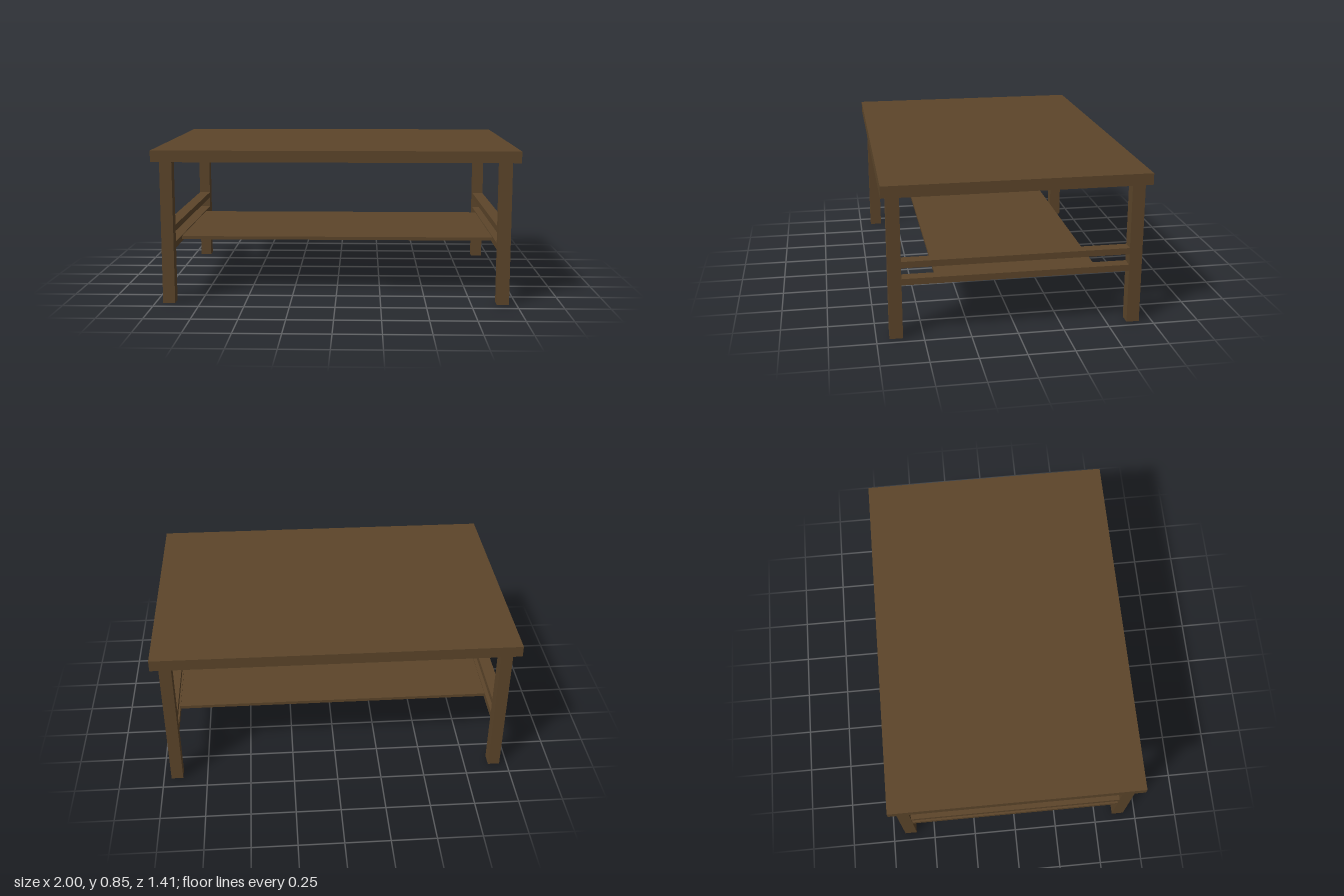
import * as THREE from 'three';

export function createModel() {
  const group = new THREE.Group();
  const wood = new THREE.MeshStandardMaterial({ color: 0x5c452a });

  // Box given by its lower and upper corners
  function slab(name, [x0, y0, z0], [x1, y1, z1]) {
    const mesh = new THREE.Mesh(new THREE.BoxGeometry(x1 - x0, y1 - y0, z1 - z0), wood);
    mesh.name = name;
    mesh.position.set((x0 + x1) / 2, (y0 + y1) / 2, (z0 + z1) / 2);
    group.add(mesh);
  }

  const inner = 0.89, outer = 0.957;    // leg extent in x
  const legIn = 0.61, legOut = 0.68;    // leg extent in z
  const underside = 0.79;

  slab('tableTop', [-1, underside, -0.707], [1, 0.853, 0.707]);

  for (const side of [-1, 1]) {
    const label = side > 0 ? 'left' : 'right';
    const x0 = side > 0 ? inner : -outer;
    const x1 = side > 0 ? outer : -inner;

    // Front and back legs
    slab(label + 'FrontLeg', [x0, 0, legIn], [x1, underside, legOut]);
    slab(label + 'BackLeg', [x0, 0, -legOut], [x1, underside, -legIn]);

    // Two rails joining the legs on each end
    slab(label + 'LowerRail', [x0, 0.3, -legIn], [x1, 0.335, legIn]);
    slab(label + 'UpperRail', [x0, 0.395, -legIn], [x1, 0.43, legIn]);
  }

  // Thin shelf held between the lower rails
  slab('shelf', [-inner, 0.312, -0.43], [inner, 0.33, 0.43]);

  return group;
}
